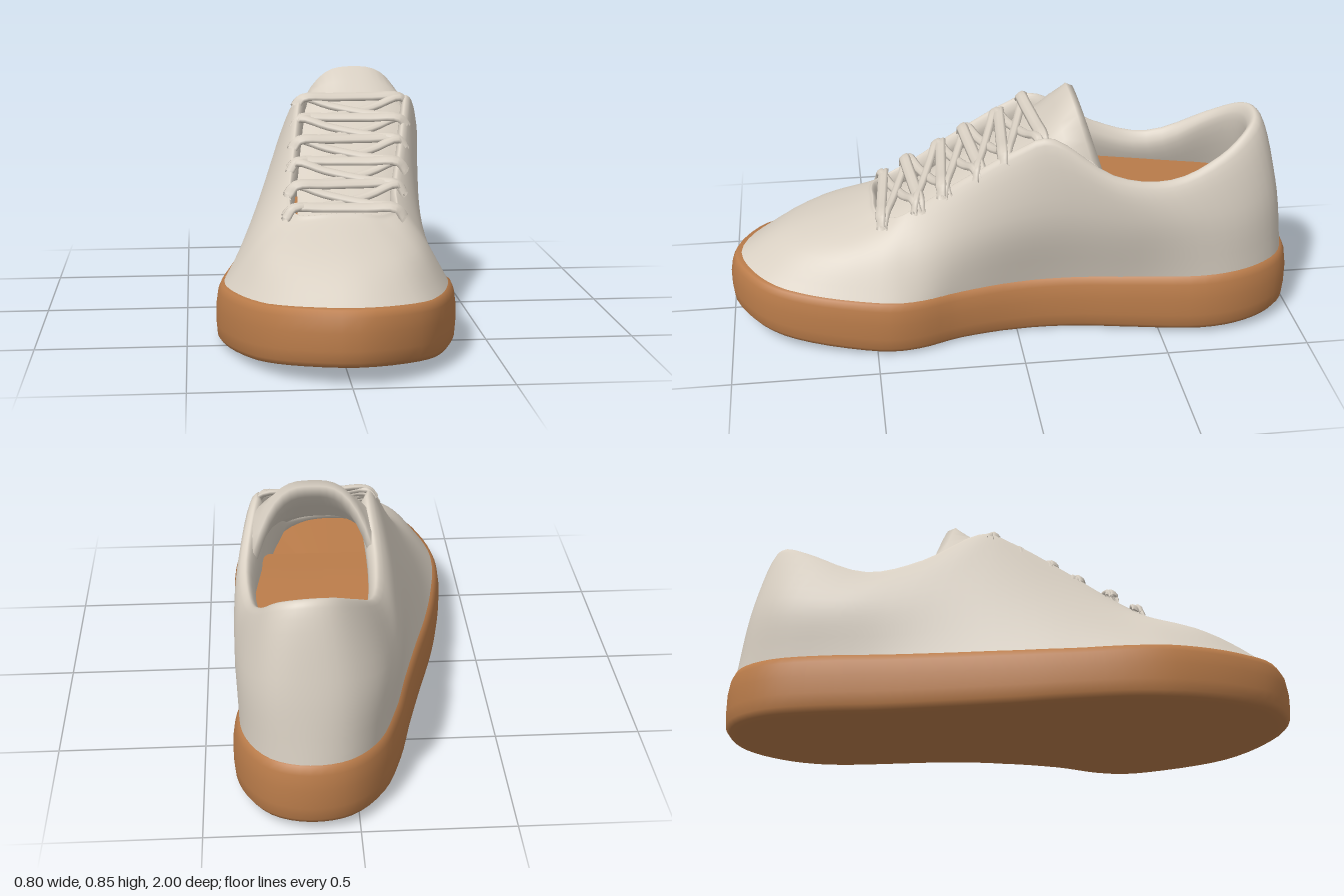
import * as THREE from 'three';

const cream = new THREE.MeshStandardMaterial({ color: 0xd8cfc2, side: THREE.DoubleSide });
cream.name = 'creamLeather';
const tan = new THREE.MeshStandardMaterial({ color: 0xba7c4a });
tan.name = 'tanRubber';

const V = (x, y, z) => new THREE.Vector3(x, y, z);
const { lerp, clamp } = THREE.MathUtils;
const SEG = 96;

// Stations run from the toe tip along -x to the heel and back along +x.
// Sole outline: x, z
const outline = [
  [.02, 1], [-.19, .92], [-.31, .77], [-.385, .57], [-.4, .4], [-.37, .18], [-.325, -.02], [-.27, -.22],
  [-.21, -.45], [-.16, -.66], [-.09, -.85], [.02, -.97], [.16, -1], [.29, -.95], [.375, -.82], [.4, -.65],
  [.355, -.42], [.31, -.2], [.3, 0], [.335, .2], [.39, .36], [.395, .5], [.33, .74], [.22, .91],
];
// Half-way up the upper: x, y, z
const waist = [
  [.02, .335, .8], [-.13, .33, .75], [-.23, .33, .64], [-.27, .328, .5], [-.27, .345, .37], [-.243, .41, .17],
  [-.215, .46, -.02], [-.19, .48, -.2], [-.175, .43, -.42], [-.145, .43, -.62], [-.08, .46, -.81], [.03, .49, -.915],
  [.165, .5, -.935], [.28, .49, -.9], [.355, .46, -.78], [.385, .45, -.6], [.385, .45, -.4], [.355, .48, -.18],
  [.335, .46, 0], [.315, .41, .18], [.3, .35, .35], [.295, .33, .47], [.25, .33, .63], [.16, .33, .76],
];
// Edge of the throat and collar: x, y, z
const rim = [
  [.02, .435, .5], [-.06, .43, .5], [-.13, .425, .48], [-.16, .44, .42], [-.16, .49, .33], [-.14, .6, .17],
  [-.115, .71, 0], [-.1, .75, -.12], [-.115, .63, -.32], [-.095, .585, -.52], [-.02, .68, -.73], [.07, .745, -.84],
  [.17, .757, -.865], [.26, .73, -.83], [.32, .65, -.71], [.355, .585, -.52], [.365, .62, -.32], [.325, .75, -.12],
  [.3, .71, 0], [.265, .6, .17], [.225, .49, .33], [.215, .44, .42], [.16, .425, .48], [.1, .43, .5],
];

// Smooth closed ring through the stations
function ring(points) {
  const curve = new THREE.CatmullRomCurve3(points.map(p => V(...p)), true, 'catmullrom', 0.5);
  return Array.from({ length: SEG }, (_, i) => curve.getPoint(i / SEG));
}

// Centre line of the shoe
function spine(p) {
  const z = clamp(p.z, -0.6, 0.2);
  return V(0.06 - 0.1 * z, p.y, z);
}

// Move a point sideways towards the centre line
function inset(p, d, dy = 0) {
  const dir = spine(p).sub(p).normalize();
  return p.clone().addScaledVector(dir, d).add(V(0, dy, 0));
}

// Skin a list of rows of points
function loft(rows, closed) {
  const n = rows[0].length, index = [];
  for (let j = 0; j < rows.length - 1; j++) {
    for (let i = 0; i < (closed ? n : n - 1); i++) {
      const k = (i + 1) % n;
      const a = j * n + i, b = j * n + k, c = a + n, d = b + n;
      index.push(a, c, b, b, c, d);
    }
  }
  const g = new THREE.BufferGeometry().setFromPoints(rows.flat());
  g.setIndex(index);
  g.computeVertexNormals();
  return g;
}

// Linear interpolation through [z, y] pairs sorted by z
function profile(pairs) {
  return z => {
    let i = 0;
    while (i < pairs.length - 2 && z > pairs[i + 1][0]) i++;
    const [z0, y0] = pairs[i], [z1, y1] = pairs[i + 1];
    return lerp(y0, y1, clamp((z - z0) / (z1 - z0), 0, 1));
  };
}
const soleBottom = profile([[-1, .03], [-.5, .01], [0, 0], [.5, .01], [.8, .033], [1, .06]]);
const soleTop = profile([[-1, .25], [-.7, .237], [-.4, .22], [0, .2], [.2, .195], [.4, .2], [.8, .222], [1, .245]]);
const insoleTop = profile([[-.8, .46], [-.2, .5]]);

export function createModel() {
  const shoe = new THREE.Group();
  shoe.name = 'sneaker';
  const add = (name, geometry, material, parent = shoe) => {
    const mesh = new THREE.Mesh(geometry, material);
    mesh.name = name;
    parent.add(mesh);
  };

  // Sole: inset and height fraction of each contour, closed on the centre line
  const edge = ring(outline.map(([x, z]) => [x, 0, z]));
  const soleRow = (d, t) => edge.map(p => {
    const q = d === null ? spine(p) : inset(p, d);
    q.y = lerp(soleBottom(q.z), soleTop(q.z), t);
    return q;
  });
  add('sole', loft([
    soleRow(null, 0), soleRow(.05, 0), soleRow(.018, .015), soleRow(.004, .1), soleRow(0, .3),
    soleRow(0, .6), soleRow(.008, .85), soleRow(.02, .97), soleRow(.04, 1), soleRow(null, 1),
  ], true), tan);

  // Upper: outer wall, rolled padded collar and lining in one skin
  const mid = ring(waist), top = ring(rim);
  const STEPS = 28;
  const columns = edge.map((p, i) => {
    const base = inset(p, .024);
    base.y = soleTop(base.z) - .012;
    const low = inset(mid[i], .055);
    low.y = Math.min(mid[i].y - .05, .43);
    const pad = top[i].z < -.1 ? .05 : .036;
    const curve = new THREE.CatmullRomCurve3([
      base, mid[i], top[i].clone().add(V(0, -.012, 0)), inset(top[i], pad / 2, .003),
      inset(top[i], pad, -.045), low,
    ]);
    return curve.getPoints(STEPS);
  });
  const upperRows = Array.from({ length: STEPS + 1 }, (_, j) => columns.map(c => c[j]));
  add('upper', loft(upperRows, true), cream);

  // Raised insole seen through the opening, ending under the tongue
  const insolePoint = (x, z) => V(x, insoleTop(z), z);
  const insoleEdge = mid.map(p => {
    const q = inset(p, .05);
    return q.z > -.05 ? insolePoint(clamp(q.x, -.14, .27), -.05) : insolePoint(q.x, q.z);
  });
  const insoleCentre = insoleEdge.map(p => insolePoint(spine(p).x, clamp(p.z, -.6, -.05)));
  add('insole', loft([insoleEdge, insoleCentre], true), tan);

  // Tongue: centre x, y, z, half width, drop and backward sweep at the sides
  const tongue = [
    [.03, .385, .5, .17, .03, 0], [.05, .465, .32, .17, .04, 0], [.06, .565, .15, .175, .03, 0],
    [.09, .66, 0, .185, .03, 0], [.112, .74, -.09, .195, .04, 0], [.117, .805, -.145, .2, .09, .02],
    [.118, .853, -.195, .203, .18, .05], [.117, .842, -.22, .203, .21, .065], [.115, .8, -.215, .19, .2, .06],
    [.11, .73, -.14, .18, .12, .03], [.1, .64, -.03, .17, .06, 0],
  ];
  const tongueRows = tongue.map(([x, y, z, w, drop, sweep]) => Array.from({ length: 17 }, (_, i) => {
    const s = i / 8 - 1, fall = Math.abs(s) ** 3;
    return V(x + s * w, y - drop * fall, z - sweep * fall);
  }));
  add('tongue', loft(tongueRows, false), cream);

  // Laces: flat straight bars with crossing strands beneath
  const laces = new THREE.Group();
  laces.name = 'laces';
  shoe.add(laces);
  const eyelet = (row, side) => {
    const z = .45 - .104 * row, t = row / 5;
    const x = side < 0 ? lerp(-.15, -.085, t) : lerp(.205, .285, t);
    return V(x, .438 + .59 * (.45 - z), z);
  };
  const slope = V(0, .86, .51);
  const strand = (name, a, b, lift, width) => {
    const at = (t, dy) => a.clone().lerp(b, t).add(V(0, dy, 0));
    const path = new THREE.CatmullRomCurve3([
      at(-.06, -.025), at(.02, .008), at(.3, lift), at(.7, lift), at(.98, .008), at(1.06, -.025),
    ]);
    const rows = path.getPoints(20).map((p, j) => {
      const across = path.getTangent(j / 20).cross(slope).normalize();
      return Array.from({ length: 8 }, (_, i) => {
        const angle = i * Math.PI / 4;
        return p.clone().addScaledVector(across, width * Math.cos(angle))
          .addScaledVector(slope, .011 * Math.sin(angle));
      });
    });
    add(name, loft(rows, true), cream, laces);
  };
  for (let row = 0; row < 6; row++) {
    const slant = V(0, 0, row % 2 ? .015 : -.015);
    strand('laceBar', eyelet(row, -1).add(slant), eyelet(row, 1).sub(slant), .01, .022);
    if (row < 5) {
      strand('laceCross', eyelet(row, -1), eyelet(row + 1, 1), -.008, .017);
      strand('laceCross', eyelet(row, 1), eyelet(row + 1, -1), 0, .017);
    }
  }
  return shoe;
}
